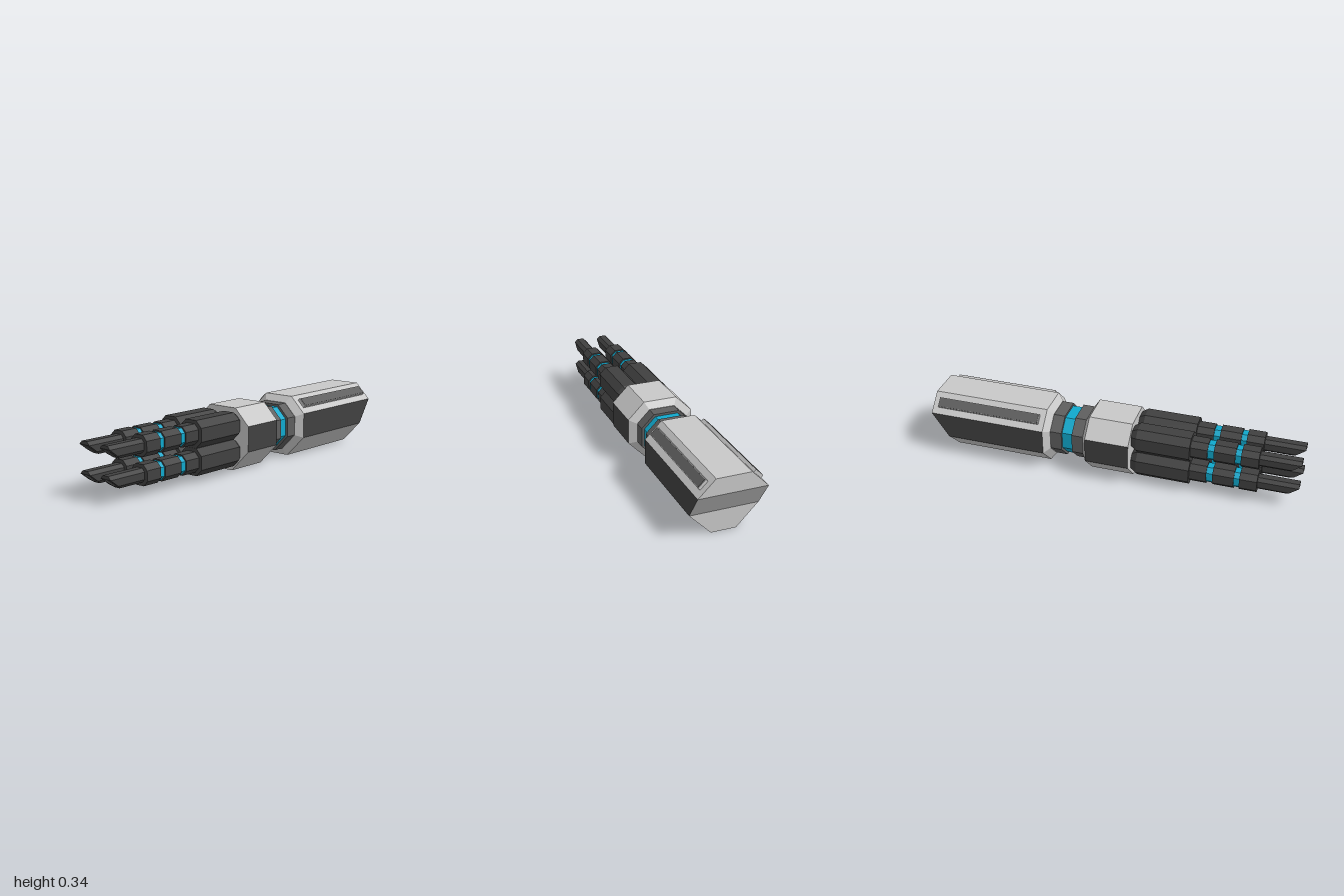
import * as THREE from 'three';

const mat = (name, color, flatShading = true) => {
  const m = new THREE.MeshStandardMaterial({ color, flatShading });
  m.name = name;
  return m;
};

// Chamfered square, counter-clockwise from bottom left
const chamferedSquare = (h, f = h / 2) => [
  [-f, -h], [f, -h], [h, -f], [h, f], [f, h], [-f, h], [-h, f], [-h, -f]];

// Main hull octagon
const HULL = [[-0.065, 0], [0.065, 0], [0.178, 0.115], [0.178, 0.25],
  [0.09, 0.338], [-0.09, 0.338], [-0.178, 0.25], [-0.178, 0.115]];
const MID_Y = 0.178;

// A ring of points at depth z (a number, or a rule of y)
const ring = (pts, z) => pts.map(([x, y]) => new THREE.Vector3(x, y, typeof z === 'function' ? z(y) : z));
const hullRing = (s, z) => ring(HULL.map(([x, y]) => [x * s, MID_Y + (y - MID_Y) * s]), z);

// Skin octagonal rings listed from front to back; paint picks a material per side face
function loft(name, rings, materials, paint = () => 0) {
  const pos = [];
  const geo = new THREE.BufferGeometry();
  const quad = (a, b, c, d, m) => {
    geo.addGroup(pos.length / 3, 6, m);
    for (const p of [a, b, c, a, c, d]) pos.push(p.x, p.y, p.z);
  };
  for (let k = 0; k + 1 < rings.length; k++) {
    for (let i = 0; i < 8; i++) {
      const j = (i + 1) % 8, a = rings[k], b = rings[k + 1];
      quad(a[i], b[i], b[j], a[j], paint(k, i));
    }
  }
  const front = rings[0], back = rings[rings.length - 1];
  for (const [a, b, c, d] of [[0, 1, 2, 7], [7, 2, 3, 6], [6, 3, 4, 5]]) {
    quad(front[a], front[b], front[c], front[d], 0);
    quad(back[d], back[c], back[b], back[a], 0);
  }
  geo.setAttribute('position', new THREE.Float32BufferAttribute(pos, 3));
  geo.computeVertexNormals();
  const mesh = new THREE.Mesh(geo, materials);
  mesh.name = name;
  return mesh;
}

export function createModel() {
  const light = mat('light grey shell', 0xc8c8c8);
  const dark = mat('charcoal', 0x404040);
  const mid = mat('mid grey', 0x5e5e5e);
  const cyan = mat('cyan glow', 0x10a8cc);
  const model = new THREE.Group();
  model.name = 'multiBarrelDevice';

  // Front and rear housings with dark flanks and tapered necks
  const flank = (straight) => (k, i) => (k === straight && (i === 2 || i === 6) ? 1 : 0);
  model.add(loft('frontHousing',
    [hullRing(1, 0.113), hullRing(1, -0.123), hullRing(0.78, -0.147)], [light, dark], flank(0)));
  const rearCut = (y) => -0.91 - 0.09 * THREE.MathUtils.clamp((y - 0.115) / 0.135, 0, 1);
  model.add(loft('rearHousing',
    [hullRing(0.78, -0.33), hullRing(1, -0.36), hullRing(1, rearCut)], [light, dark], flank(1)));

  // Collars and glowing ring joining the housings
  model.add(loft('frontCollar', [hullRing(0.77, -0.14), hullRing(0.77, -0.21)], [mid]));
  model.add(loft('glowRing', [hullRing(0.69, -0.2), hullRing(0.69, -0.277)], [cyan]));
  model.add(loft('rearCollar', [hullRing(0.77, -0.268), hullRing(0.77, -0.34)], [mid]));

  // Long raised panels on the upper chamfers
  for (const s of [1, -1]) {
    const panel = new THREE.Group();
    panel.name = s > 0 ? 'leftPanel' : 'rightPanel';
    const frame = new THREE.Mesh(new THREE.BoxGeometry(0.054, 0.03, 0.576), light);
    frame.name = 'panelFrame';
    const plate = new THREE.Mesh(new THREE.BoxGeometry(0.048, 0.004, 0.568), mid);
    plate.name = 'panelPlate';
    plate.position.y = 0.015;
    panel.add(frame, plate);
    panel.position.set(s * 0.1335, 0.2955, -0.679);
    panel.rotation.z = -s * Math.PI / 4;
    model.add(panel);
  }

  // Four stepped barrels: name, half-width, front z, back z, material
  const segments = [
    ['barrelBand', 0.053, 0.52, 0.425, dark],
    ['barrelGlow', 0.046, 0.56, 0.515, cyan],
    ['barrelBand', 0.053, 0.665, 0.553, dark],
    ['barrelGlow', 0.046, 0.7, 0.66, cyan],
    ['barrelBand', 0.053, 0.786, 0.694, dark],
  ];
  const tipCut = (y) => 1 - 1.3 * Math.max(0, 0.018 - y);
  for (const x of [-0.071, 0.071]) {
    for (const y of [0.107, 0.25]) {
      const barrel = new THREE.Group();
      barrel.name = 'barrel';
      const cuff = chamferedSquare(0.071);
      barrel.add(loft('barrelCuff',
        [ring(cuff, 0.43), ring(cuff, 0.145), ring(chamferedSquare(0.05), 0.11)], [dark]));
      for (const [name, h, z0, z1, m] of segments) {
        barrel.add(loft(name, [ring(chamferedSquare(h), z0), ring(chamferedSquare(h), z1)], [m]));
      }
      // Slanted tip with a small inset mouth
      const tip = chamferedSquare(0.035, 0.018);
      barrel.add(loft('barrelTip', [ring(tip, tipCut), ring(tip, 0.78)], [dark]));
      const mouth = chamferedSquare(0.018, 0.011).map(([px, py]) => [px, py * 1.25 - 0.005]);
      barrel.add(loft('barrelMouth', [ring(mouth, (v) => tipCut(v) + 0.002),
        ring(mouth, (v) => tipCut(v) - 0.003)], [y < 0.2 ? mid : dark]));
      barrel.position.set(x, y, 0);
      model.add(barrel);
    }
  }
  return model;
}
